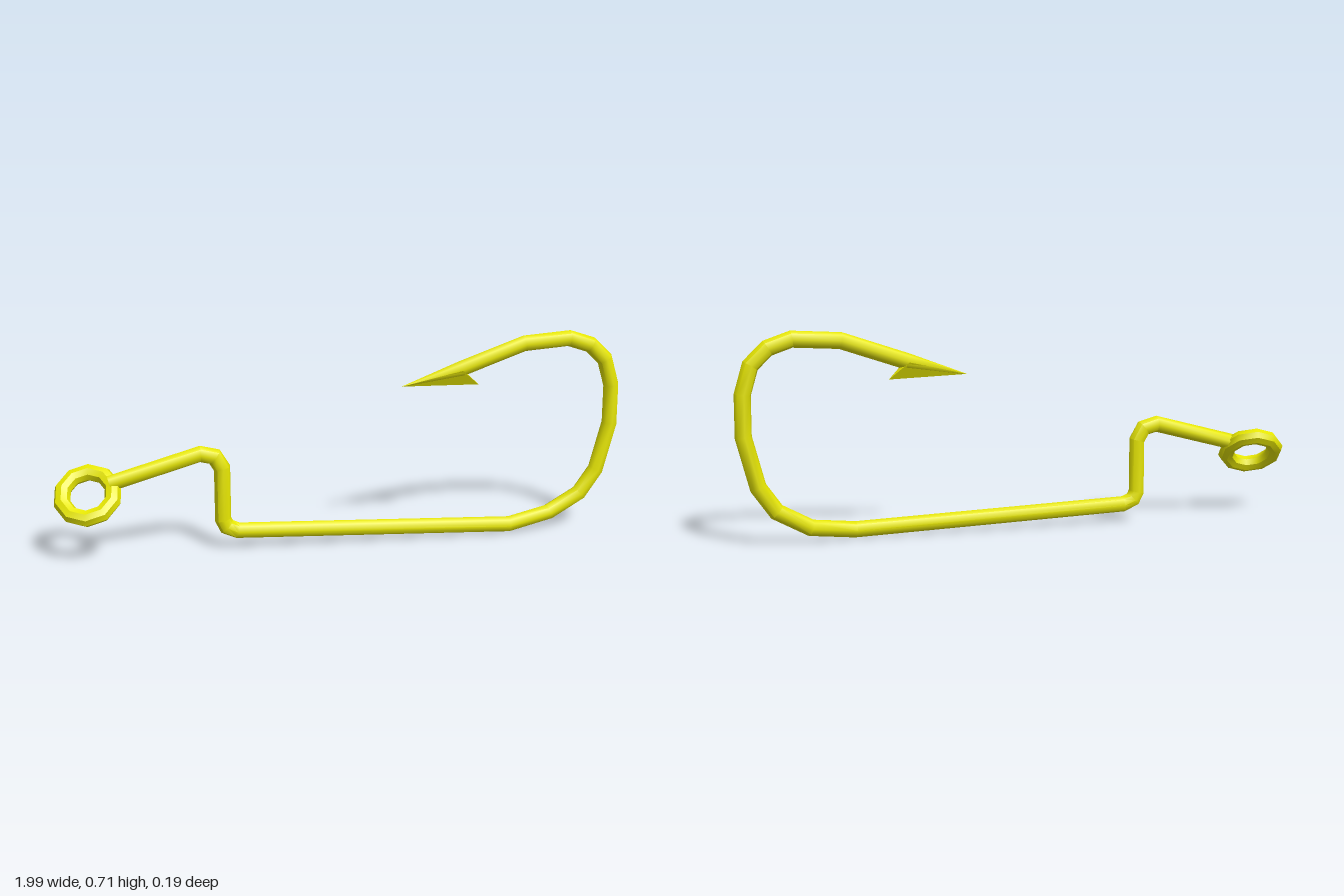
import * as THREE from 'three';
import { toCreasedNormals } from 'three/addons/utils/BufferGeometryUtils.js';
import { ConvexGeometry } from 'three/addons/geometries/ConvexGeometry.js';

const V = (x, y, z) => new THREE.Vector3(x, y, z);
const SIDES = 8;
const R = 0.028;

// Sweep an octagon along a polyline with mitred corners; path items are [x, y, z, radius]
function sweep(path) {
  const points = path.map(([x, y, z]) => V(x, y, z));
  const last = points.length - 1;
  const positions = [], index = [];
  points.forEach((p, i) => {
    const before = points[i].clone().sub(points[Math.max(i - 1, 0)]).normalize();
    const after = points[Math.min(i + 1, last)].clone().sub(p).normalize();
    const t = before.clone().add(after).normalize();
    const n = V(0, 0, 1).cross(t).normalize();
    const b = t.clone().cross(n);
    const mitre = 1 / Math.max(t.dot(i < last ? after : before), 0.5);
    const r = path[i][3] ?? R;
    for (let j = 0; j < SIDES; j++) {
      const a = (j / SIDES) * Math.PI * 2;
      const v = p.clone().addScaledVector(n, Math.cos(a) * r * mitre).addScaledVector(b, Math.sin(a) * r);
      positions.push(v.x, v.y, v.z);
      if (i === last) continue;
      const k = (j + 1) % SIDES, q = i * SIDES, s = q + SIDES;
      index.push(q + j, q + k, s + k, q + j, s + k, s + j);
    }
  });
  // Start cap
  for (let j = 1; j < SIDES - 1; j++) index.push(0, j + 1, j);
  const g = new THREE.BufferGeometry();
  g.setAttribute('position', new THREE.Float32BufferAttribute(positions, 3));
  g.setIndex(index);
  return toCreasedNormals(g, 0.82);
}

export function createModel() {
  const hook = new THREE.Group();
  hook.name = 'fishHook';
  const metal = new THREE.MeshStandardMaterial({ color: 0xe6e600 });
  const add = (name, geometry) => {
    const mesh = new THREE.Mesh(geometry, metal);
    mesh.name = name;
    hook.add(mesh);
    return mesh;
  };

  // Wire: neck, offset step, shank, round bend and tapered point
  const z = 0.037;
  add('wire', sweep([
    [-0.81, 0.262, -0.002], [-0.5, 0.345, -0.002], [-0.45, 0.332, -0.002], [-0.425, 0.29, -0.002],
    [-0.425, 0.105, -0.002], [-0.412, 0.078, -0.001], [-0.375, 0.062, 0.002],
    [0.59, 0.029, 0.069], [0.75, 0.052, 0.04], [0.865, 0.115, z], [0.925, 0.2, z],
    [0.97, 0.37, z], [0.97, 0.51, z], [0.942, 0.605, z], [0.885, 0.66, z],
    [0.805, 0.687, z], [0.64, 0.677, z], [0.41, 0.599, z], [0.2, 0.548, z, 0.001],
  ]));

  // Barb: sharp wedge under the point
  const barb = add('barb', new ConvexGeometry([
    V(0.2, 0.548, z), V(0.475, 0.54, z), V(0.41, 0.598, z - 0.028),
    V(0.41, 0.598, z + 0.028), V(0.425, 0.59, z),
  ]));
  barb.geometry.computeVertexNormals();

  // Eye: line ring, tilted about the neck direction
  const eye = add('eye', toCreasedNormals(new THREE.TorusGeometry(0.089, 0.029, 8, 10), 0.6));
  const along = V(0.965, 0.262, 0).normalize();
  const across = V(-0.262 * 0.66, 0.965 * 0.66, -0.75).normalize();
  eye.quaternion.setFromRotationMatrix(
    new THREE.Matrix4().makeBasis(along, across, along.clone().cross(across)));
  eye.position.set(-0.883, 0.227, -0.002);

  return hook;
}
